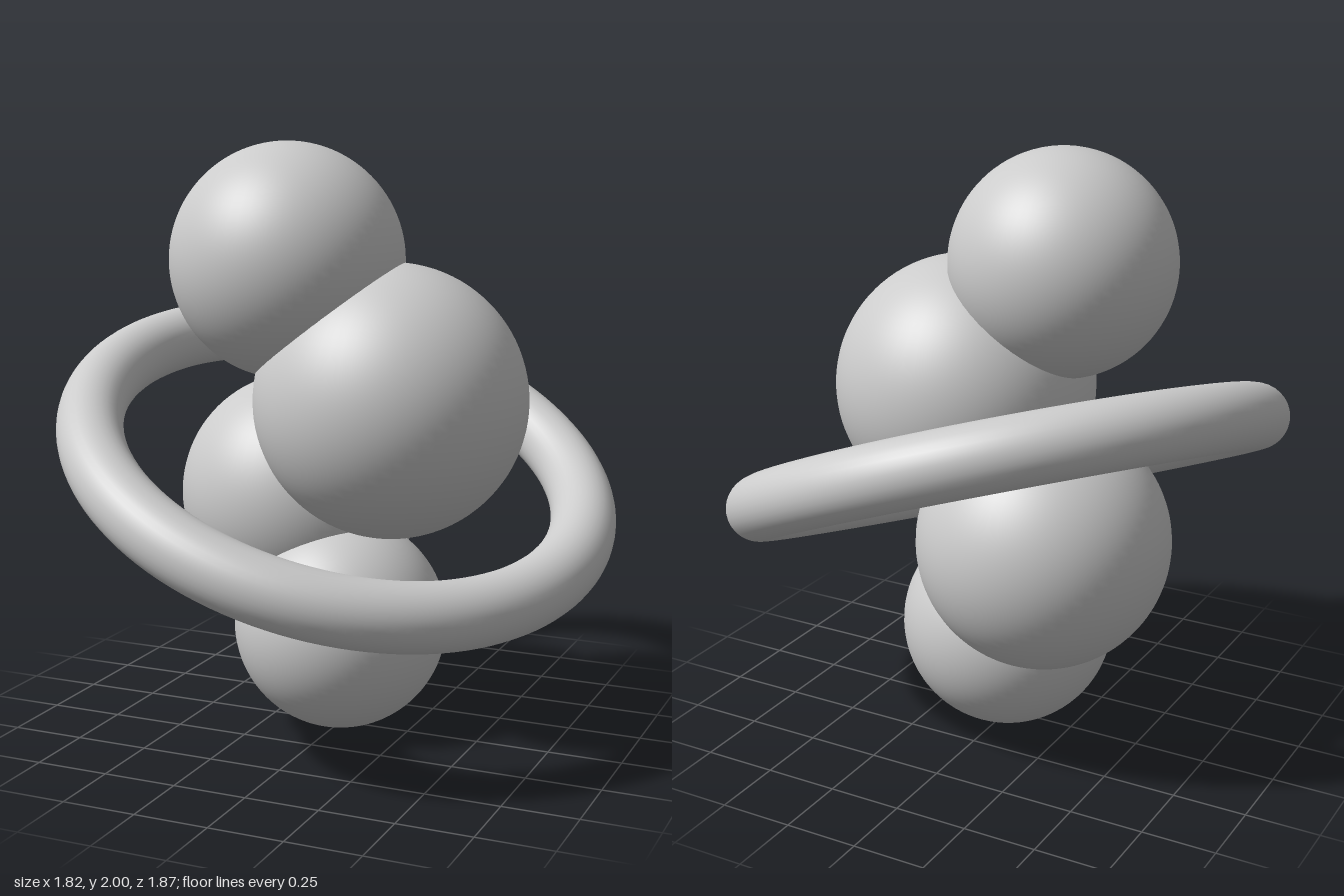
import * as THREE from 'three';

export function createModel() {
  const group = new THREE.Group();
  const material = new THREE.MeshStandardMaterial({ color: 0xcccccc });

  const add = (name, geometry, x, y, z) => {
    const mesh = new THREE.Mesh(geometry, material);
    mesh.name = name;
    mesh.position.set(x, y, z);
    group.add(mesh);
    return mesh;
  };

  // Stack of overlapping balls: name, radius, centre
  const balls = [
    ['bottomBall', 0.365, 0, 0.365, 0],
    ['lowerBall', 0.42, -0.23, 0.77, -0.18],
    ['upperBall', 0.45, 0.225, 1.165, 0.11],
    ['topBall', 0.385, -0.115, 1.615, 0.17],
  ];
  for (const [name, radius, x, y, z] of balls) {
    add(name, new THREE.SphereGeometry(radius, 64, 48), x, y, z);
  }

  // Tilted ring around the stack, low at the front left
  const ring = add('ring', new THREE.TorusGeometry(0.85, 0.11, 32, 128), 0, 0.94, 0);
  const axis = new THREE.Vector3(0.339, 0.909, 0.241).normalize();
  ring.quaternion.setFromUnitVectors(new THREE.Vector3(0, 0, 1), axis);

  return group;
}
